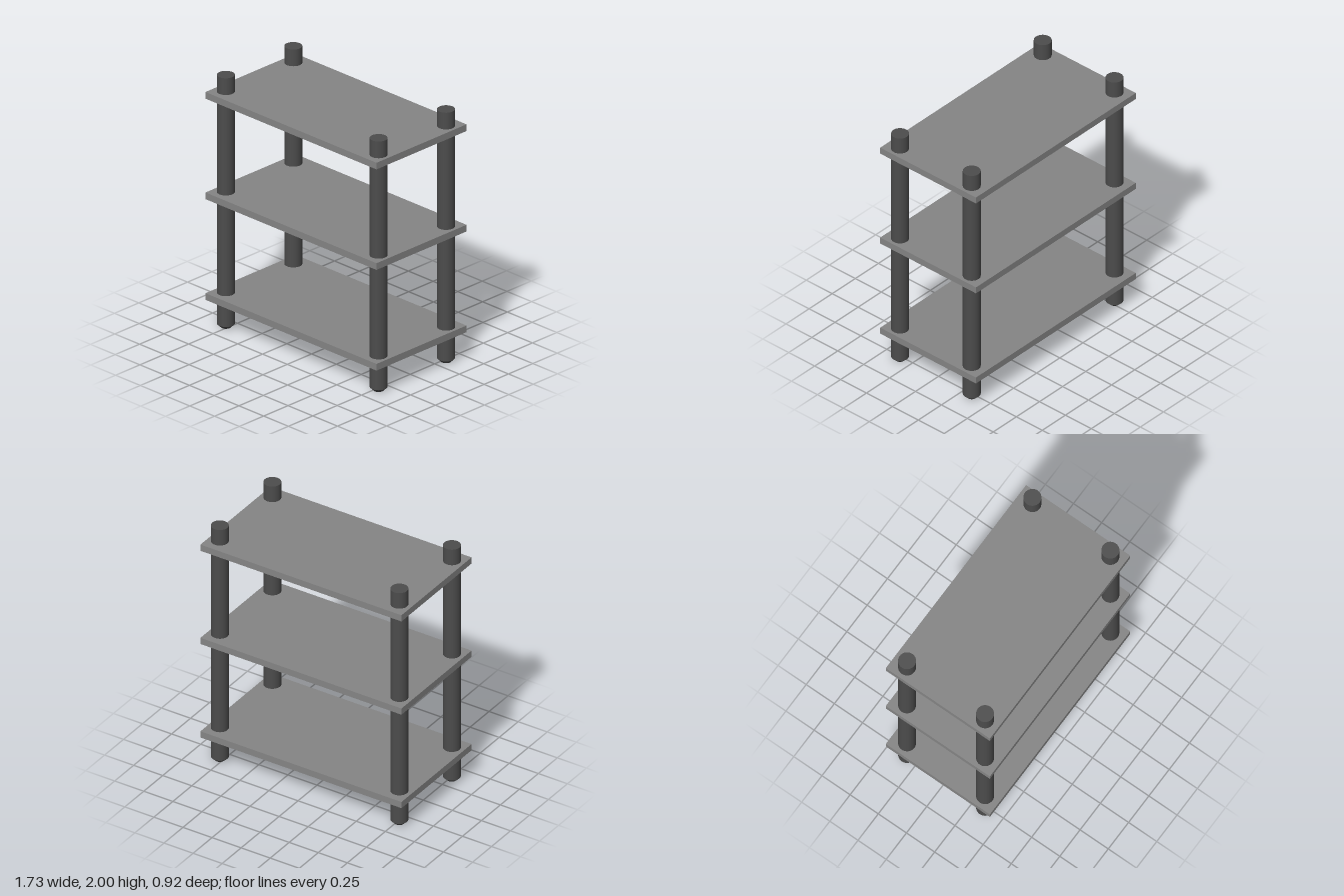
import * as THREE from 'three';

export function createModel() {
  const model = new THREE.Group();
  model.name = 'shelvingUnit';

  const shelfGrey = new THREE.MeshStandardMaterial({ color: 0x858585 });
  shelfGrey.name = 'shelf grey';
  const postGrey = new THREE.MeshStandardMaterial({ color: 0x4c4c4c });
  postGrey.name = 'post dark grey';

  function add(parent, name, geometry, material, x, y, z) {
    const mesh = new THREE.Mesh(geometry, material);
    mesh.name = name;
    mesh.position.set(x, y, z);
    parent.add(mesh);
  }

  // Three flat shelves
  const shelfGeometry = new THREE.BoxGeometry(1.728, 0.053, 0.924);
  [['bottomShelf', 0.245], ['middleShelf', 1.044], ['topShelf', 1.841]].forEach(([name, y]) =>
    add(model, name, shelfGeometry, shelfGrey, 0, y, 0));

  // Four round posts with tapered feet, set slightly off centre
  const radius = 0.065, footHeight = 0.027, height = 2;
  const shaftGeometry = new THREE.CylinderGeometry(radius, radius, height - footHeight, 32);
  const footGeometry = new THREE.CylinderGeometry(radius, 0.037, footHeight, 32);
  for (const [side, x] of [['Left', 0.775], ['Right', -0.768]]) {
    for (const [end, z] of [['front', 0.35], ['back', -0.342]]) {
      const post = new THREE.Group();
      post.name = `${end}${side}Post`;
      post.position.set(x, 0, z);
      add(post, 'shaft', shaftGeometry, postGrey, 0, (height + footHeight) / 2, 0);
      add(post, 'foot', footGeometry, postGrey, 0, footHeight / 2, 0);
      model.add(post);
    }
  }

  return model;
}
